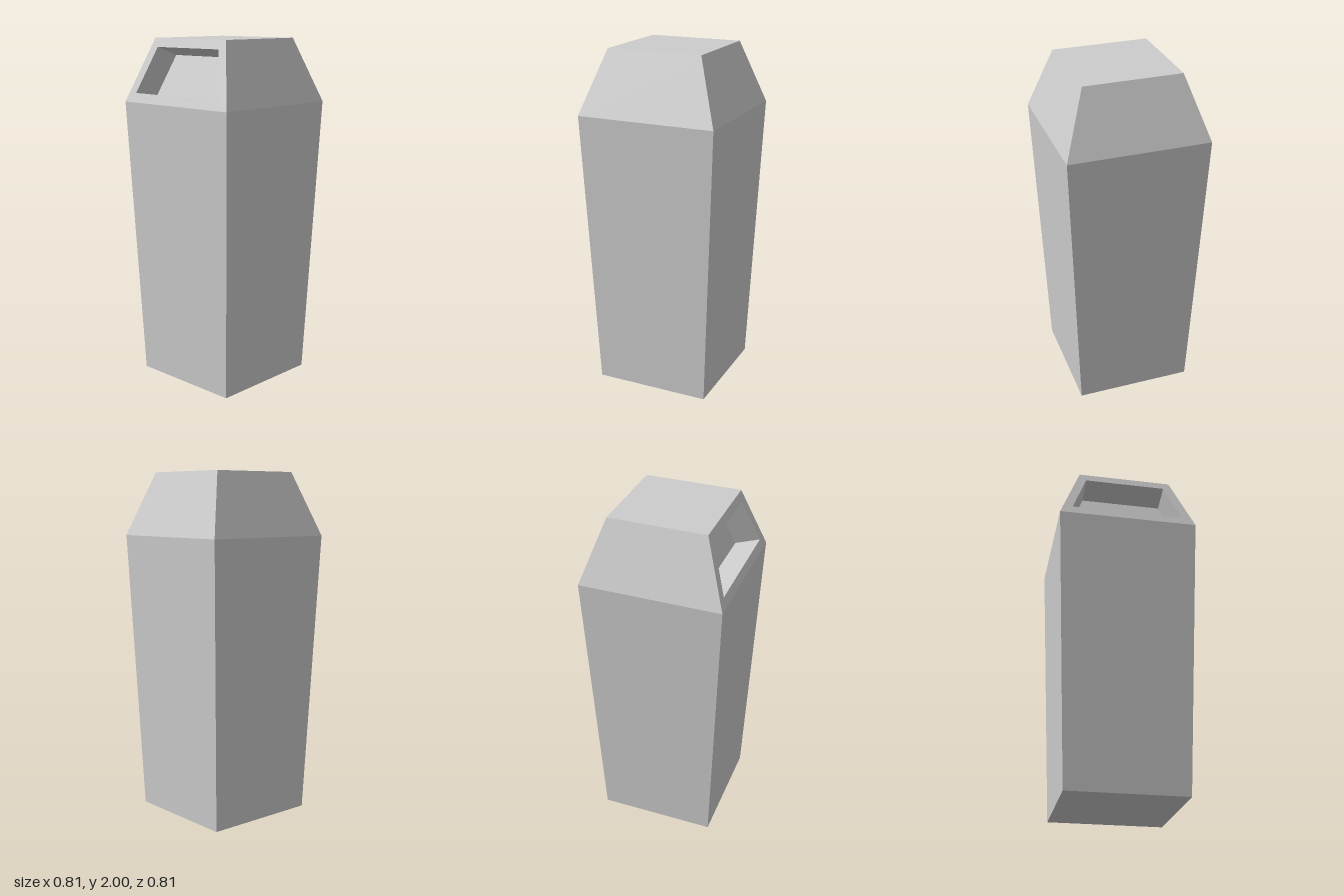
import * as THREE from 'three';

const grey = new THREE.MeshStandardMaterial({ color: 0xcccccc });
grey.name = 'lightGrey';

// Flat-shaded mesh from quads, corners counter-clockwise seen from outside
function quadMesh(name, quads) {
  const points = quads.flatMap(([a, b, c, d]) => [a, b, c, a, c, d]).flat();
  const geometry = new THREE.BufferGeometry();
  geometry.setAttribute('position', new THREE.Float32BufferAttribute(points, 3));
  geometry.computeVertexNormals();
  const mesh = new THREE.Mesh(geometry, grey);
  mesh.name = name;
  return mesh;
}

// Square cross-section: front pair first, then back pair
const ring = (h, y) => [[-h, y, h], [h, y, h], [h, y, -h], [-h, y, -h]];

// Four quads joining two four-cornered loops
const loft = (a, b) => a.map((p, i) => [p, a[(i + 1) % 4], b[(i + 1) % 4], b[i]]);

export function createModel() {
  const group = new THREE.Group();
  group.name = 'litterBin';

  const base = ring(0.34, 0);
  const rim = ring(0.405, 1.637);
  const top = ring(0.278, 2);

  // Tapered body with a closed underside
  group.add(quadMesh('body', [...loft(base, rim), [...base].reverse()]));

  // Hood: sides, back and flat top; the front panel is separate
  group.add(quadMesh('hood', [...loft(rim, top).slice(1), top]));

  // Opening outline lying on the sloping front of the hood
  const run = 0.405 - 0.278, rise = 2 - 1.637;
  const onFront = (x, y) => [x, y, 0.278 + (2 - y) * run / rise];
  const opening = [onFront(-0.33, 1.69), onFront(0.33, 1.69), onFront(0.24, 1.95), onFront(-0.24, 1.95)];
  const panel = [rim[0], rim[1], top[1], top[0]];
  group.add(quadMesh('frontFrame', loft(panel, opening)));

  // Recess pushed in square to the front panel
  const depth = 0.152, slope = Math.hypot(run, rise);
  const inner = opening.map(([x, y, z]) => [x, y - depth * run / slope, z - depth * rise / slope]);
  group.add(quadMesh('openingRecess', [...loft(opening, inner), inner]));

  return group;
}
